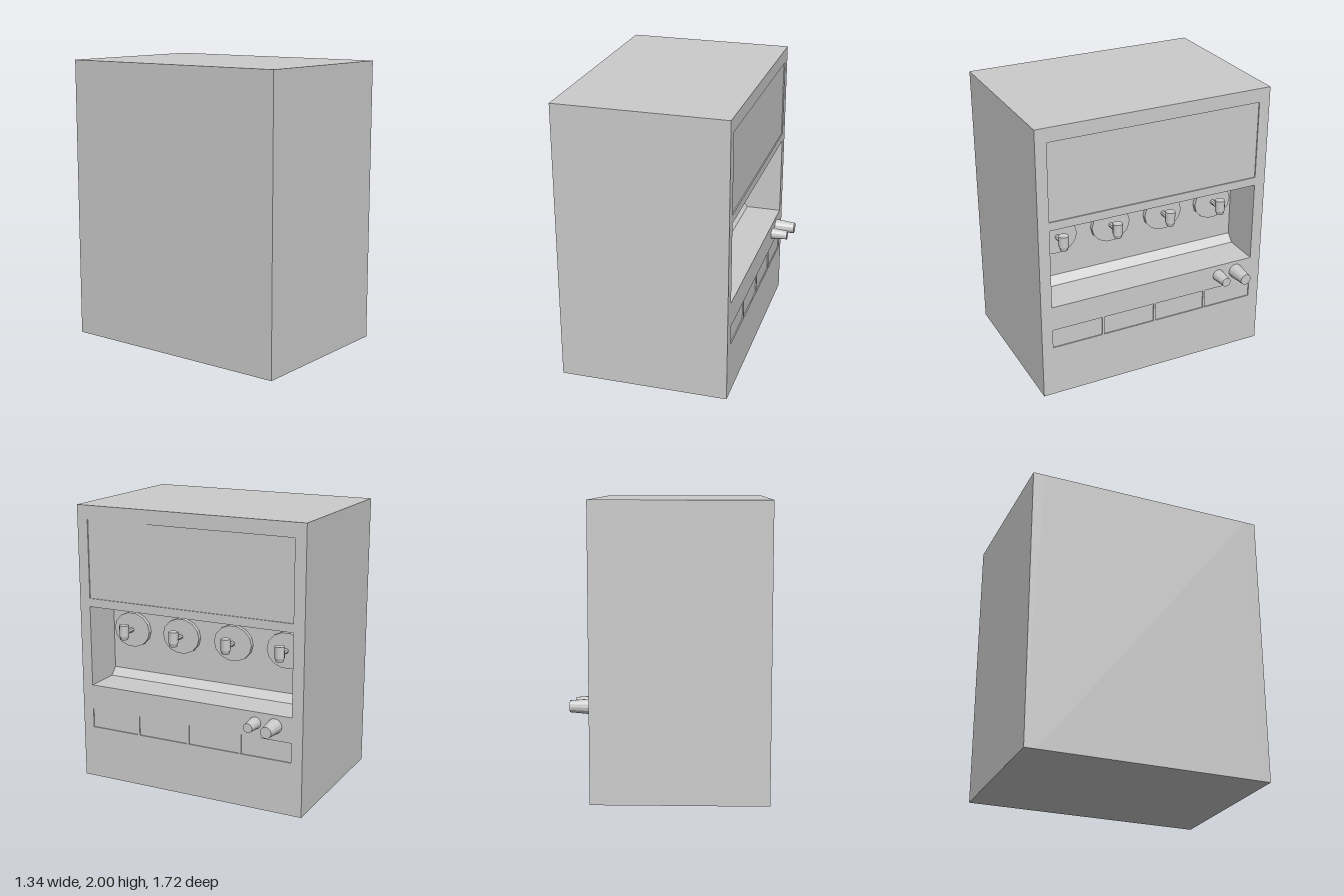
import * as THREE from 'three';

export function createModel() {
  const group = new THREE.Group();
  const material = new THREE.MeshStandardMaterial({ color: 0xcccccc, flatShading: true });
  const add = (name, geometry, x = 0, y = 0, z = 0, parent = group) => {
    const mesh = new THREE.Mesh(geometry, material);
    mesh.name = name;
    mesh.position.set(x, y, z);
    parent.add(mesh);
    return mesh;
  };

  const back = -0.67, face = 0.52, half = 0.86, inner = 0.78, wall = 0.21;
  const inset = face - 0.008;

  // Cabinet section: drawer band, dispensing recess with sloped rear lip, and display panel
  const section = new THREE.Shape([
    [back, 0], [face, 0],
    [face, 0.38], [inset, 0.38], [inset, 0.52], [face, 0.52],
    [face, 0.7], [wall + 0.05, 0.7], [wall, 0.755], [wall, 1.28], [face, 1.28],
    [face, 1.34], [inset, 1.34], [inset, 1.9], [face, 1.9],
    [face, 2], [back, 2],
  ].map(([x, y]) => new THREE.Vector2(x, y)));
  add('cabinetCore', new THREE.ExtrudeGeometry(section, { depth: inner * 2, bevelEnabled: false }), 0, 0, -inner);

  // Side walls closing the recesses
  for (const side of [-1, 1]) {
    add('cabinetSide', new THREE.BoxGeometry(face - back, 2, half - inner),
      (face + back) / 2, 1, side * (half + inner) / 2);
  }

  // Strips between the four drawer fronts
  for (const z of [-0.4, 0, 0.4]) {
    add('drawerDivider', new THREE.BoxGeometry(0.008, 0.14, 0.015), inset + 0.004, 0.45, z);
  }

  // Four taps: wall disc, feed pipe and spout
  const discGeometry = new THREE.CylinderGeometry(0.145, 0.145, 0.03, 14).rotateZ(-Math.PI / 2).scale(1, 0.88, 1);
  const pipeGeometry = new THREE.CylinderGeometry(0.018, 0.018, 0.135, 8).rotateZ(-Math.PI / 2);
  const spoutGeometry = new THREE.LatheGeometry([
    [0, -0.052], [0.026, -0.052], [0.035, -0.025], [0.035, 0.055], [0, 0.055],
  ].map(([r, y]) => new THREE.Vector2(r, y)), 12);
  for (const z of [-0.61, -0.205, 0.205, 0.61]) {
    const tap = new THREE.Group();
    tap.name = 'tap';
    tap.position.set(wall, 1.065, z);
    group.add(tap);
    add('tapDisc', discGeometry, 0.015, 0, 0, tap);
    add('tapPipe', pipeGeometry, 0.0725, 0, 0, tap);
    add('tapSpout', spoutGeometry, 0.138, 0.005, 0, tap);
  }

  // Tapered knobs below the recess
  for (const [z, base, tip, length] of [[-0.657, 0.053, 0.04, 0.145], [-0.513, 0.043, 0.033, 0.118]]) {
    add('knob', new THREE.CylinderGeometry(tip, base, length, 14).rotateZ(-Math.PI / 2),
      face + length / 2, 0.622, z);
  }

  return group;
}
